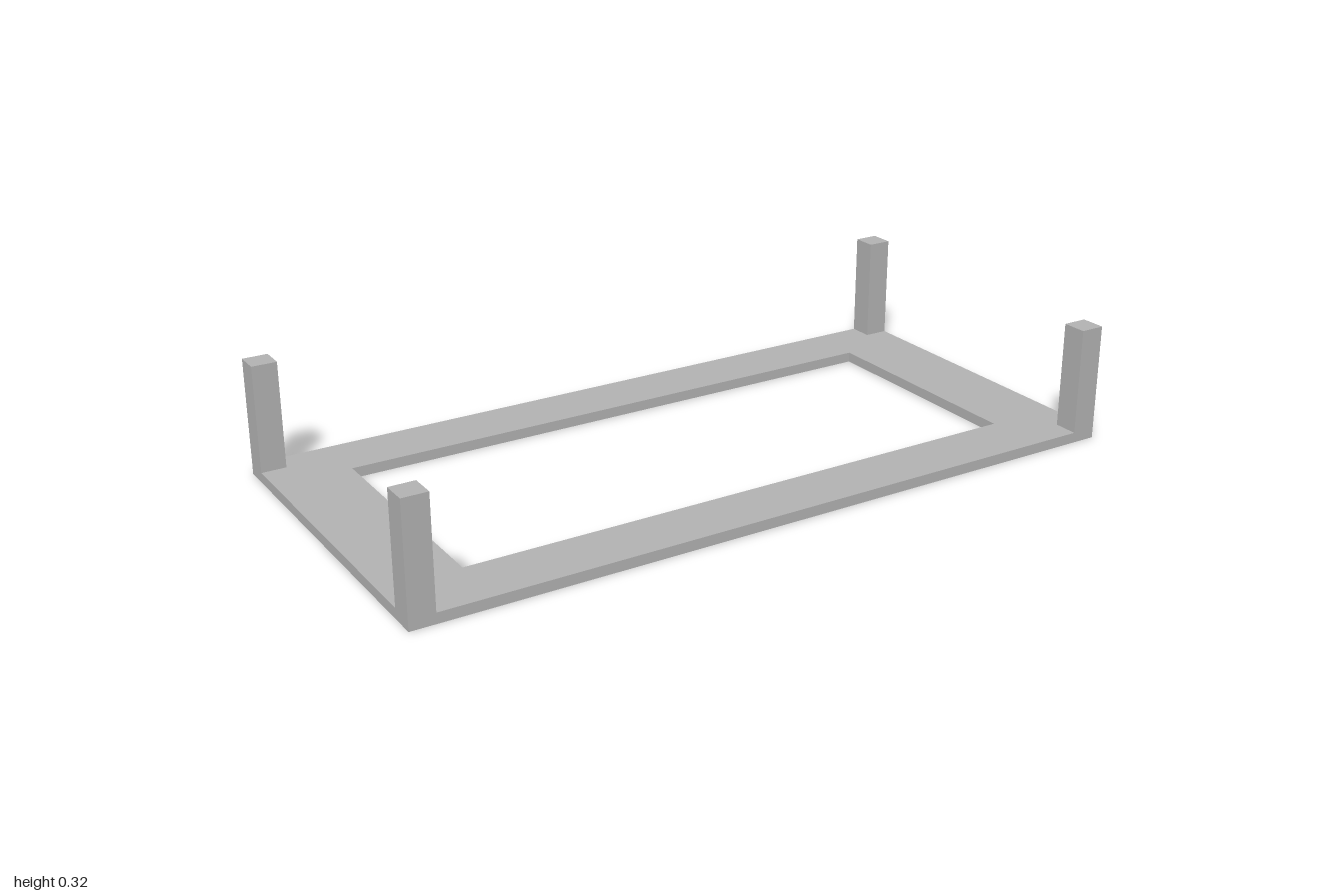
import * as THREE from 'three';

const WIDTH = 2, DEPTH = 0.972, HEIGHT = 0.317;
const PLATE = 0.028, POST = 0.067;

function rectangle(path, halfX, halfY) {
  path.moveTo(-halfX, -halfY);
  path.lineTo(halfX, -halfY);
  path.lineTo(halfX, halfY);
  path.lineTo(-halfX, halfY);
  path.closePath();
  return path;
}

export function createModel() {
  const group = new THREE.Group();
  group.name = 'openFrame';
  const grey = new THREE.MeshStandardMaterial({ color: 0xb2b2b2 });
  grey.name = 'grey';

  // flat base with a rectangular opening
  const outline = rectangle(new THREE.Shape(), WIDTH / 2, DEPTH / 2);
  outline.holes.push(rectangle(new THREE.Path(), 0.793, 0.324));
  const baseGeometry = new THREE.ExtrudeGeometry(outline, { depth: PLATE, bevelEnabled: false });
  baseGeometry.rotateX(-Math.PI / 2);
  const base = new THREE.Mesh(baseGeometry, grey);
  base.name = 'baseFrame';
  group.add(base);

  // upright square posts flush with the four corners
  const postHeight = HEIGHT - PLATE;
  const postGeometry = new THREE.BoxGeometry(POST, postHeight, POST);
  for (const [side, x] of [['Left', 1], ['Right', -1]]) {
    for (const [end, z] of [['front', 1], ['back', -1]]) {
      const post = new THREE.Mesh(postGeometry, grey);
      post.name = `${end}${side}Post`;
      post.position.set(x * (WIDTH - POST) / 2, PLATE + postHeight / 2, z * (DEPTH - POST) / 2);
      group.add(post);
    }
  }
  return group;
}
